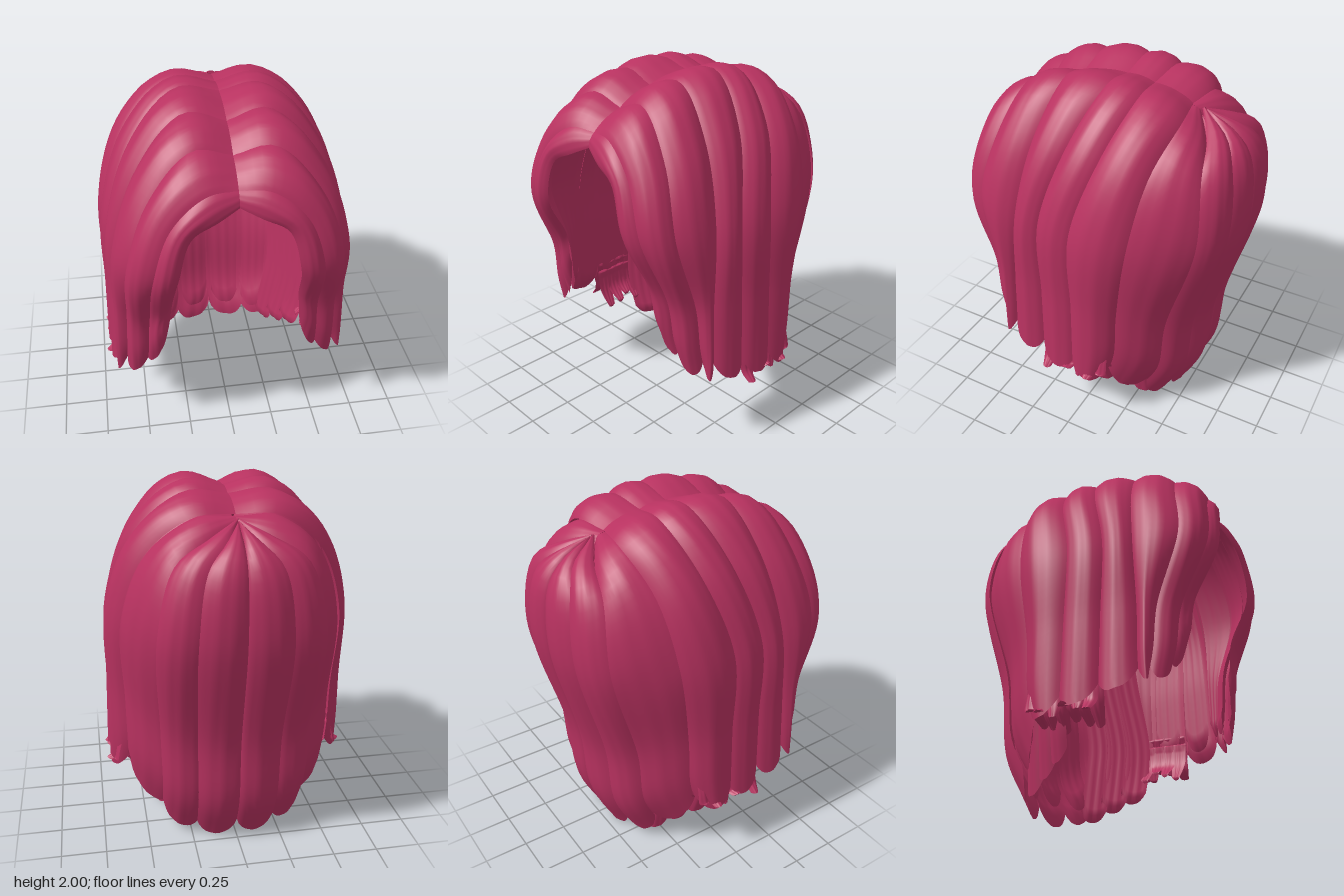
import * as THREE from 'three';

const hair = new THREE.MeshStandardMaterial({ color: 0xb83260 });
hair.name = 'raspberryHair';

const curve = (pts) => new THREE.CatmullRomCurve3(pts.map((p) => new THREE.Vector3(...p)));
const mix = THREE.MathUtils.lerp;

// Edge line between two locks: from the parting, over the rounded crown, past the cheek at y 1.3, to the hem
function edge([partY, partZ], [rise, sweep], [sideX, sideZ], [hemX, hemY, hemZ]) {
  const round = 0.6 * Math.abs(sideZ);
  const tuck = sideZ > 0 ? 0.2 : 0;
  const drop = (f, fz) => [mix(sideX, hemX, f), mix(1.3, hemY, f), mix(sideZ, hemZ, fz)];
  return curve([
    [0, partY, partZ],
    [sideX * 0.36, partY + rise, mix(partZ, sideZ, 0.15 + round) + sweep],
    [sideX * 0.77, mix(1.3, partY, 0.66), mix(partZ, sideZ, 0.45 + round) + sweep / 2],
    [sideX, 1.3, sideZ],
    drop(0.5, 0.49 + tuck), drop(0.8, 0.62 + tuck), drop(1, 1),
  ]);
}

// Left side edges, from the face opening round to the back seam
const edges = [
  edge([1.66, 0.67], [-0.05, 0], [0.31, 0.73], [0.37, 0.78, 0.55]),
  edge([1.73, 0.63], [0, -0.02], [0.43, 0.72], [0.48, 0.54, 0.5]),
  edge([1.82, 0.46], [0.05, -0.05], [0.55, 0.6], [0.59, 0.48, 0.43]),
  edge([1.9, 0.26], [0.05, -0.05], [0.58, 0.36], [0.62, 0.46, 0.4]),
  edge([1.94, 0], [0.03, -0.06], [0.61, 0.2], [0.64, 0.41, 0.2]),
  edge([1.92, -0.16], [0.02, -0.05], [0.63, 0], [0.66, 0.36, 0]),
  edge([1.86, -0.37], [0, -0.06], [0.6, -0.3], [0.59, 0.34, -0.17]),
  edge([1.84, -0.43], [-0.07, 0], [0.43, -0.62], [0.4, 0.12, -0.3]),
  edge([1.83, -0.45], [-0.07, 0], [0.24, -0.71], [0.22, 0.015, -0.38]),
  edge([1.83, -0.45], [-0.08, 0], [0, -0.73], [0, 0.02, -0.43]),
];

// A closed, lens-shaped lock stretched between two edge lines, with a rounded hem
function lockGeometry(a, b, { bulge, lift = 0, u0 = -0.04, u1 = 1.04, end = 1, thick = 0.03 }) {
  const rows = 36, cols = 12, pos = [], idx = [];
  const A = a.getSpacedPoints(200), B = b.getSpacedPoints(200);
  const sample = (line, t) => {
    const f = t * 200, k = Math.min(199, Math.floor(f));
    return line[k].clone().lerp(line[k + 1], f - k);
  };
  const base = (u, t) => sample(A, t).lerp(sample(B, t), u);
  for (let layer = 0; layer < 2; layer++) {
    for (let i = 0; i <= rows; i++) {
      for (let j = 0; j <= cols; j++) {
        const s = j / cols, u = mix(u0, u1, s);
        const t = (i / rows) * end * (1 - 0.05 * Math.abs(2 * s - 1) ** 3);
        const tt = THREE.MathUtils.clamp(t, 0.03, 0.99);
        const along = base(u, tt + 0.01).sub(base(u, tt - 0.02));
        const across = base(u1, tt).sub(base(u0, tt));
        const normal = along.cross(across).normalize();
        const arch = Math.max(0, Math.sin(Math.PI * s)) ** 0.75;
        const ramp = 0.35 + 0.65 * Math.min(1, t * 5);
        const open = i === 0 || i === rows ? 0 : 1;
        const ripple = 0.002 * Math.sin(s * 19 + t * 4);
        const out = (bulge + ripple) * arch * ramp + lift - layer * open * thick * arch;
        const p = base(u, t).addScaledVector(normal, out);
        pos.push(Math.max(p.x, 0), p.y, p.z);
      }
    }
    const start = layer * (rows + 1) * (cols + 1);
    for (let i = 0; i < rows; i++) {
      for (let j = 0; j < cols; j++) {
        const p = start + i * (cols + 1) + j, q = p + cols + 1;
        if (layer === 0) idx.push(p, q, p + 1, q, q + 1, p + 1);
        else idx.push(p, p + 1, q, q, p + 1, q + 1);
      }
    }
  }
  const g = new THREE.BufferGeometry();
  g.setAttribute('position', new THREE.Float32BufferAttribute(pos, 3));
  g.setIndex(idx);
  g.computeVertexNormals();
  return g;
}

function mirrored(g) {
  const m = g.clone().scale(-1, 1, 1);
  const ix = m.index.array;
  for (let i = 0; i < ix.length; i += 3) [ix[i], ix[i + 1]] = [ix[i + 1], ix[i]];
  m.computeVertexNormals();
  return m;
}

export function createModel() {
  const model = new THREE.Group();
  model.name = 'wig';

  function addPair(name, a, b, options) {
    const g = lockGeometry(a, b, options);
    [['left', g], ['right', mirrored(g)]].forEach(([side, geo]) => {
      const mesh = new THREE.Mesh(geo, hair);
      mesh.name = side + name;
      model.add(mesh);
    });
  }

  // Outer locks, front to back, with a narrower under layer lining the inside
  const names = ['FringeLock', 'TempleLock', 'FrontSideLock', 'MidSideLock', 'EarLock',
    'RearSideLock', 'BackCornerLock', 'BackOuterLock', 'BackCentreLock'];
  const bulges = [0.035, 0.05, 0.055, 0.05, 0.045, 0.06, 0.04, 0.04, 0.04];
  names.forEach((name, i) => {
    addPair(name, edges[i], edges[i + 1], { bulge: bulges[i], lift: i === 6 ? -0.02 : 0 });
    if (i > 0) {
      addPair('Inner' + name, edges[i], edges[i + 1],
        { bulge: 0.03, lift: -0.045, u0: 0.12, u1: 0.9, end: 0.95 + 0.02 * (i % 2) });
    }
  });

  // Lower locks hanging from inside the side wall, stepping down towards the nape
  for (let i = 0; i < 3; i++) {
    const line = (k) => {
      const z = -0.03 - k * 0.1, x = 0.54 - k * 0.06;
      return curve([
        [x + 0.02, 1.4, z - 0.13], [x + 0.03, 0.95, z - 0.07], [x + 0.03, 0.55, z],
        [x, 0.35, z], [x - 0.05, 0.18 - i * 0.06, z - 0.01],
      ]);
    };
    addPair('NapeLock' + (i + 1), line(i), line(i + 1.2), { bulge: 0.03 });
  }

  // Small ragged tufts that flick out and in at the side hem
  for (let i = 0; i < 6; i++) {
    const z = 0.16 - i * 0.065, y = 0.34 + 0.025 * (i % 3), odd = i % 2;
    const outer = (dz) => curve([
      [0.6, 0.6, z + dz], [0.635, 0.47, z + dz], [0.65, 0.4, z + dz], [0.7 - 0.04 * odd, y, z + dz * 0.6],
    ]);
    const inner = (dz) => curve([
      [0.6, 0.55, z + dz], [0.58, 0.42, z + dz], [0.52 - 0.02 * odd, y - 0.03, z + dz * 0.5],
    ]);
    addPair('HemTuft' + (i + 1), outer(0.035), outer(-0.035), { bulge: 0.015, thick: 0.015 });
    addPair('InnerHemTuft' + (i + 1), inner(0.04), inner(-0.04), { bulge: 0.015, thick: 0.015 });
  }

  return model;
}
